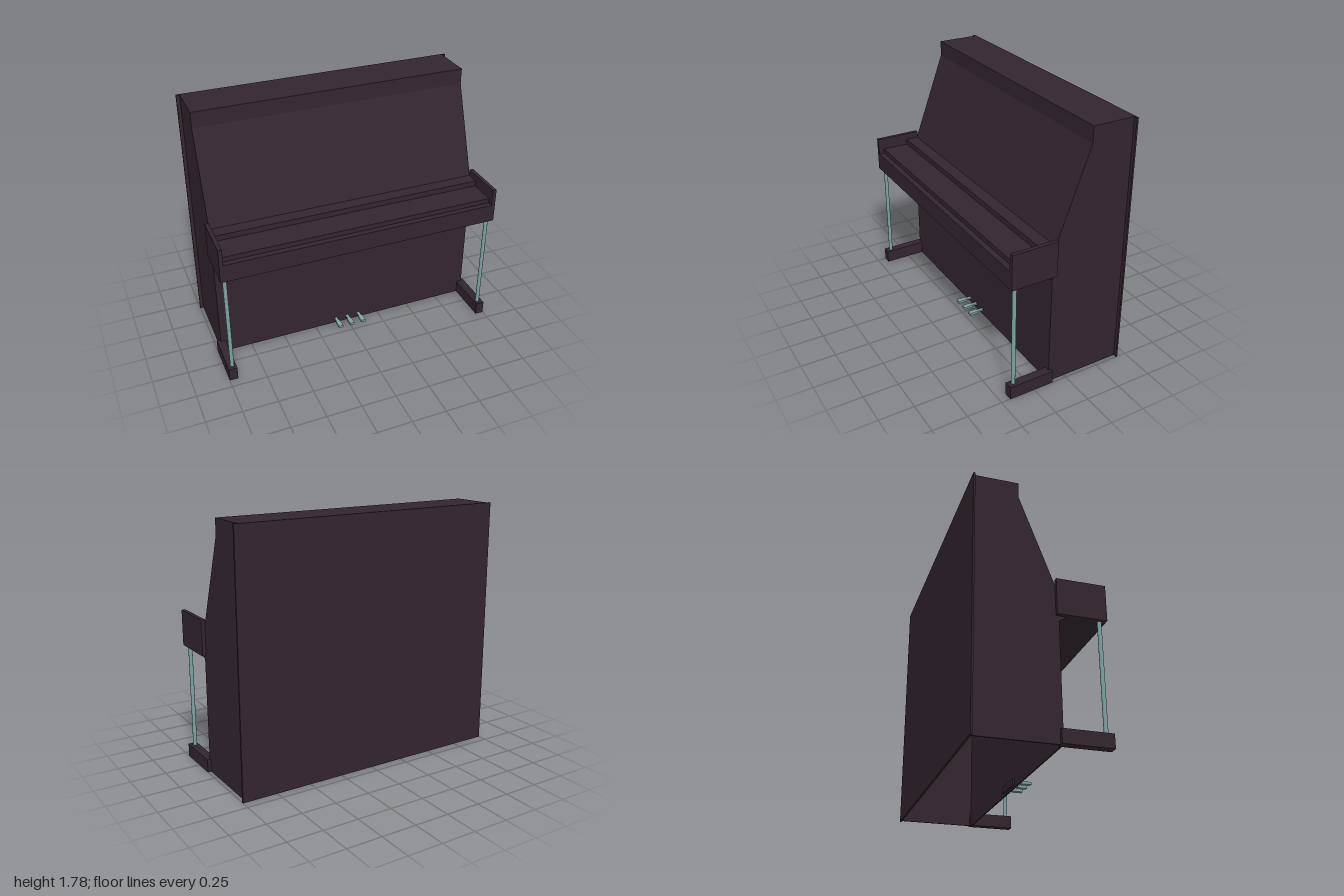
import * as THREE from 'three';

export function createModel() {
  const piano = new THREE.Group();
  piano.name = 'uprightPiano';

  const darkWood = new THREE.MeshStandardMaterial({ color: 0x32252f });
  darkWood.name = 'darkWood';
  const metal = new THREE.MeshStandardMaterial({ color: 0x7ba3a2 });
  metal.name = 'paleMetal';

  const add = (name, geometry, material) => {
    const mesh = new THREE.Mesh(geometry, material);
    mesh.name = name;
    piano.add(mesh);
    return mesh;
  };

  // Box given by its limits on each axis
  const box = (name, [x0, x1], [y0, y1], [z0, z1], material) => {
    const mesh = add(name, new THREE.BoxGeometry(x1 - x0, y1 - y0, z1 - z0), material);
    mesh.position.set((x0 + x1) / 2, (y0 + y1) / 2, (z0 + z1) / 2);
    return mesh;
  };

  // Side profile of [z, y] points, extruded across x
  const profile = (name, points, x0, x1) => {
    const shape = new THREE.Shape(points.map(([z, y]) => new THREE.Vector2(z, y)));
    const geometry = new THREE.ExtrudeGeometry(shape, { depth: x1 - x0, bevelEnabled: false });
    geometry.rotateY(-Math.PI / 2);
    geometry.translate(x1, 0, 0);
    return add(name, geometry, darkWood);
  };

  // Hollow case, open underneath: bent front and top panel, two sides, back
  const outer = [[0.125, 0], [0.125, 1.0], [0.105, 1.05], [-0.125, 1.67], [-0.125, 1.78], [-0.425, 1.78]];
  const inner = [[-0.425, 1.77], [-0.135, 1.77], [-0.135, 1.668], [0.095, 1.048], [0.115, 0.998], [0.115, 0]];
  profile('frontAndTopPanel', [...outer, ...inner], -0.965, 0.965);
  for (const side of [-1, 1]) {
    const x = side * 0.97;
    profile('sidePanel', [[-0.425, 0], ...outer], x - 0.005, x + 0.005);
  }
  box('backPanel', [-1, 1], [0, 1.78], [-0.435, -0.422], darkWood);

  // Key bed with stepped, closed lid
  profile('keyBedAndLid', [
    [0.105, 0.8], [0.125, 0.8], [0.18, 0.836], [0.435, 0.836], [0.435, 0.965],
    [0.395, 0.965], [0.395, 1.0], [0.2, 1.0], [0.2, 1.04], [0.105, 1.04],
  ], -0.972, 0.972);

  // Arms, legs and feet on both sides
  for (const side of [-1, 1]) {
    const span = (a, b) => (side > 0 ? [a, b] : [-b, -a]);
    box('arm', span(0.972, 1), [0.836, 1.086], [0.105, 0.435], darkWood);
    box('foot', span(0.94, 1), [0, 0.094], [0.105, 0.435], darkWood);
    const leg = add('leg', new THREE.CylinderGeometry(0.014, 0.014, 0.744, 12), metal);
    leg.position.set(side * 0.966, 0.465, 0.395);
  }

  // Pedals and the board that carries them inside the case
  box('pedalBoard', [-0.11, 0.11], [0.015, 0.06], [0.1, 0.116], darkWood);
  for (const x of [-0.09, 0, 0.09]) {
    box('pedalStem', [x - 0.011, x + 0.011], [0.033, 0.045], [0.115, 0.19], metal);
    box('pedalToe', [x - 0.017, x + 0.017], [0.03, 0.048], [0.17, 0.235], metal);
  }

  return piano;
}
